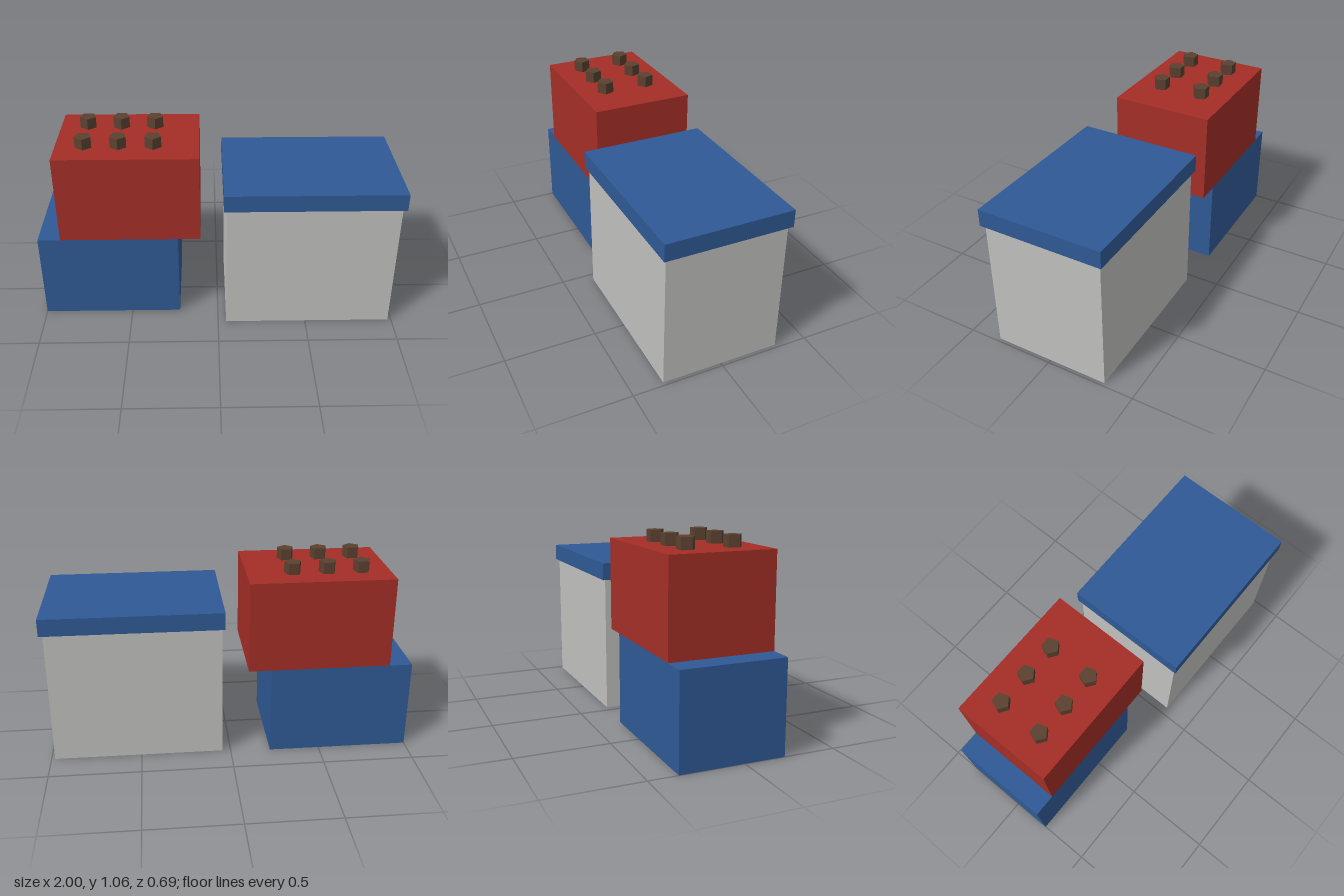
import * as THREE from 'three';

const material = (name, color) => {
  const m = new THREE.MeshStandardMaterial({ color });
  m.name = name;
  return m;
};

export function createModel() {
  const blue = material('blue', 0x2f5994);
  const red = material('red', 0xa32e26);
  const grey = material('light grey', 0xc0c0be);
  const brown = material('brown', 0x5a4130);

  const model = new THREE.Group();
  model.name = 'crates';

  // Box given by its extents along x, y and z
  const addBox = (name, mat, [x0, x1], [y0, y1], [z0, z1]) => {
    const mesh = new THREE.Mesh(new THREE.BoxGeometry(x1 - x0, y1 - y0, z1 - z0), mat);
    mesh.position.set((x0 + x1) / 2, (y0 + y1) / 2, (z0 + z1) / 2);
    mesh.name = name;
    model.add(mesh);
  };

  // Large box with overhanging lid
  addBox('coolerBody', grey, [0.046, 0.98], [0, 0.75], [-0.328, 0.328]);
  addBox('coolerLid', blue, [0.03, 1], [0.75, 0.845], [-0.345, 0.345]);

  // Two stacked crates, the upper one shifted sideways
  addBox('lowerCrate', blue, [-1, -0.222], [0, 0.5], [-0.345, 0.219]);
  addBox('upperCrate', red, [-0.875, -0.097], [0.5, 1], [-0.345, 0.219]);

  // Five-sided bottle caps standing on the upper crate
  const caps = new THREE.Group();
  caps.name = 'bottleCaps';
  const capGeometry = new THREE.CylinderGeometry(0.047, 0.047, 0.0625, 5).toNonIndexed();
  capGeometry.computeVertexNormals();
  for (const x of [-0.72, -0.533, -0.345]) {
    for (const z of [-0.187, 0.063]) {
      const cap = new THREE.Mesh(capGeometry, brown);
      cap.position.set(x, 1.031, z);
      cap.name = 'bottleCap';
      caps.add(cap);
    }
  }
  model.add(caps);

  return model;
}
